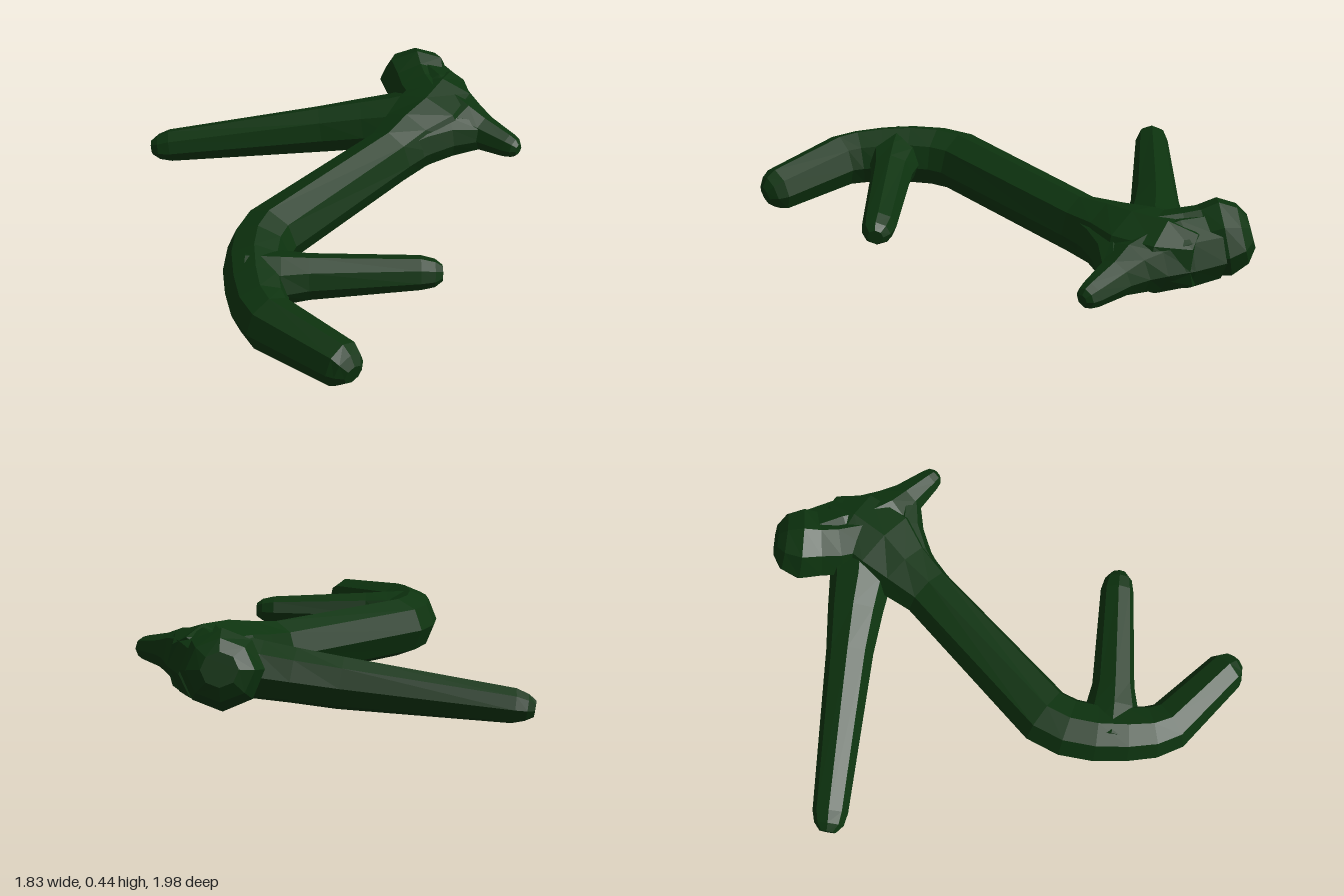
import * as THREE from 'three';

const SIDES = 8;

// Faceted limb lofted through rings [x, y, z, halfWidth, halfHeight]
function limb(name, rings, material) {
  const up = new THREE.Vector3(0, 1, 0);
  const centres = rings.map(([x, y, z]) => new THREE.Vector3(x, y, z));
  const last = rings.length - 1;
  const pos = [];
  rings.forEach(([, , , w, h = w], i) => {
    const before = centres[Math.max(i - 1, 0)];
    const after = centres[Math.min(i + 1, last)];
    const along = new THREE.Vector3();
    if (i > 0) along.add(centres[i].clone().sub(before).normalize());
    if (i < last) along.add(after.clone().sub(centres[i]).normalize());
    along.normalize();
    const side = new THREE.Vector3().crossVectors(up, along).normalize();
    const top = new THREE.Vector3().crossVectors(along, side);
    for (let k = 0; k < SIDES; k++) {
      const a = (k / SIDES) * Math.PI * 2;
      const p = centres[i].clone()
        .addScaledVector(side, w * Math.cos(a))
        .addScaledVector(top, h * Math.sin(a));
      pos.push(p.x, p.y, p.z);
    }
  });
  const index = [];
  for (let i = 0; i < last; i++) {
    for (let k = 0; k < SIDES; k++) {
      const n = (k + 1) % SIDES;
      const a = i * SIDES + k, b = i * SIDES + n;
      index.push(a, b, b + SIDES, a, b + SIDES, a + SIDES);
    }
  }
  // Flat end caps
  const end = last * SIDES;
  for (let k = 1; k < SIDES - 1; k++) {
    index.push(0, k + 1, k, end, end + k, end + k + 1);
  }
  const indexed = new THREE.BufferGeometry();
  indexed.setAttribute('position', new THREE.Float32BufferAttribute(pos, 3));
  indexed.setIndex(index);
  const geometry = indexed.toNonIndexed();
  geometry.computeVertexNormals(); // one normal per facet
  const mesh = new THREE.Mesh(geometry, material);
  mesh.name = name;
  return mesh;
}

export function createModel() {
  const group = new THREE.Group();
  group.name = 'branch';
  const bark = new THREE.MeshStandardMaterial({ color: 0x0d330f });
  bark.name = 'dark green bark';

  // Main stem: swells at the fork, runs straight, then hooks to the side
  group.add(limb('mainStem', [
    [0.08, 0.27, -0.86, 0.09, 0.12],
    [0.12, 0.265, -0.74, 0.19, 0.155],
    [0.15, 0.255, -0.58, 0.2, 0.155],
    [0.145, 0.24, -0.44, 0.15, 0.145],
    [0.155, 0.23, -0.29, 0.12, 0.133],
    [0.13, 0.225, 0.48, 0.133, 0.135],
    [0.165, 0.225, 0.585, 0.133, 0.135],
    [0.235, 0.225, 0.685, 0.13, 0.135],
    [0.325, 0.225, 0.775, 0.125, 0.13],
    [0.41, 0.22, 0.845, 0.118, 0.127],
    [0.49, 0.22, 0.88, 0.112, 0.122],
    [0.85, 0.223, 0.88, 0.09, 0.1],
    [0.885, 0.22, 0.885, 0.073, 0.078],
    [0.912, 0.215, 0.89, 0.042, 0.045],
  ], bark));

  // Long branch leaning down to the ground
  group.add(limb('longBranch', [
    [0.12, 0.25, -0.68, 0.16, 0.14],
    [-0.02, 0.22, -0.55, 0.14, 0.125],
    [-0.13, 0.2, -0.465, 0.125, 0.118],
    [-0.28, 0.17, -0.34, 0.106, 0.112],
    [-0.82, 0.082, 0.125, 0.078, 0.075],
    [-0.86, 0.075, 0.16, 0.065, 0.058],
    [-0.887, 0.07, 0.18, 0.036, 0.036],
  ], bark));

  // Thick broken knob at the back
  group.add(limb('knob', [
    [0.13, 0.265, -0.66, 0.15, 0.145],
    [0.02, 0.265, -0.73, 0.155, 0.145],
    [-0.05, 0.27, -0.785, 0.152, 0.15],
    [-0.115, 0.285, -0.84, 0.168, 0.165],
    [-0.165, 0.3, -0.895, 0.135, 0.125],
    [-0.19, 0.31, -0.92, 0.075, 0.07],
  ], bark));

  // Short tapering spur opposite the knob
  group.add(limb('spur', [
    [-0.05, 0.265, -0.82, 0.15, 0.14],
    [0.08, 0.265, -0.76, 0.155, 0.15],
    [0.2, 0.265, -0.705, 0.145, 0.125],
    [0.3, 0.262, -0.685, 0.12, 0.11],
    [0.39, 0.258, -0.69, 0.083, 0.08],
    [0.53, 0.25, -0.69, 0.056, 0.056],
    [0.565, 0.25, -0.69, 0.045, 0.045],
    [0.583, 0.25, -0.69, 0.024, 0.024],
  ], bark));

  // Web of bark filling the fork beside the spur
  group.add(limb('forkWeb', [
    [0.16, 0.235, -0.3, 0.1, 0.11],
    [0.21, 0.24, -0.46, 0.095, 0.11],
    [0.28, 0.25, -0.58, 0.085, 0.1],
    [0.38, 0.255, -0.67, 0.06, 0.075],
  ], bark));

  // Twig growing from the hook
  group.add(limb('twig', [
    [0.25, 0.235, 0.75, 0.14, 0.115],
    [0.36, 0.24, 0.66, 0.115, 0.105],
    [0.44, 0.243, 0.59, 0.092, 0.095],
    [0.77, 0.25, 0.29, 0.073, 0.068],
    [0.815, 0.25, 0.255, 0.06, 0.055],
    [0.838, 0.25, 0.235, 0.034, 0.033],
  ], bark));

  return group;
}
